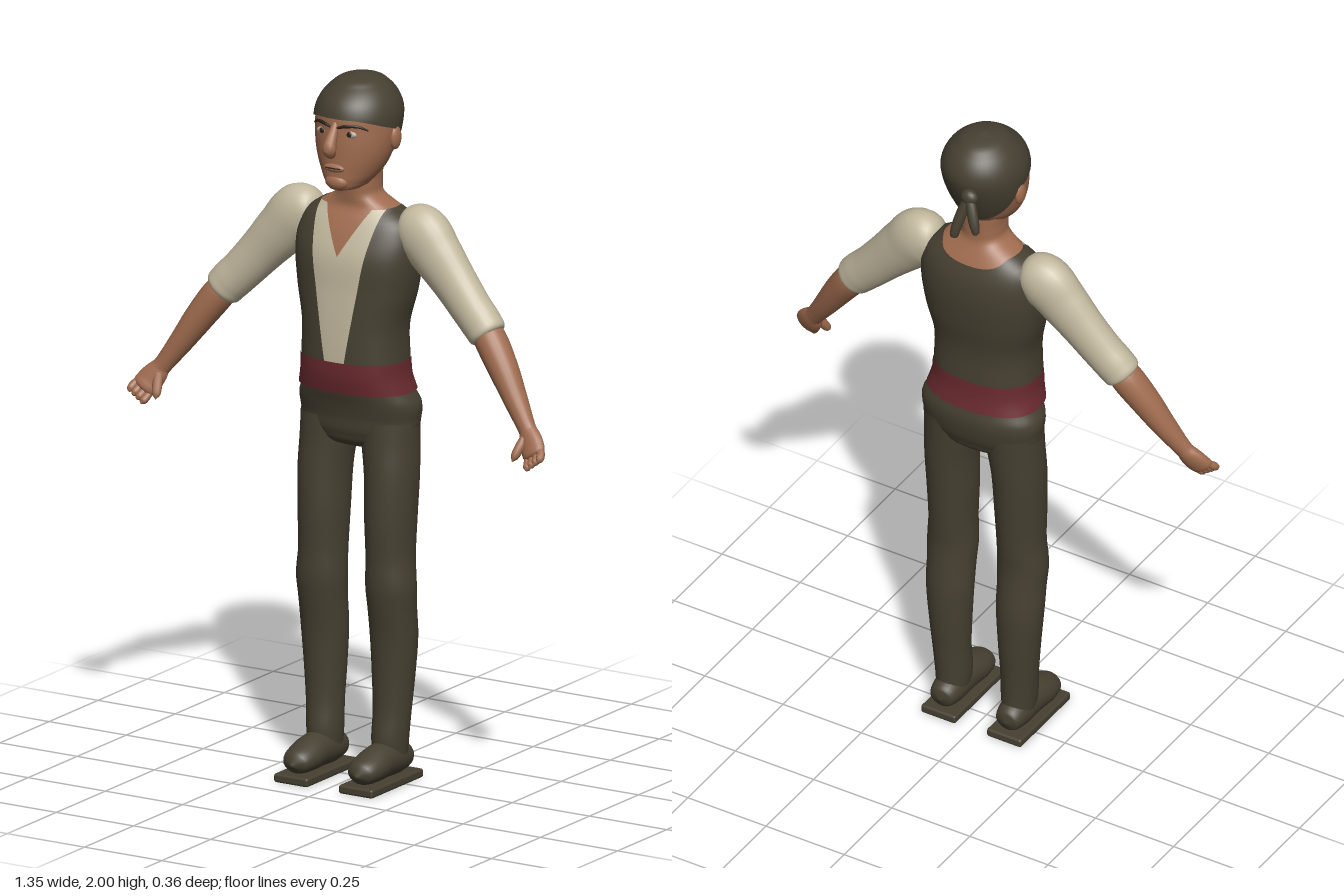
import * as THREE from 'three';
import { mergeVertices } from 'three/addons/utils/BufferGeometryUtils.js';
import { RoundedBoxGeometry } from 'three/addons/geometries/RoundedBoxGeometry.js';

const { lerp } = THREE.MathUtils;
const colour = (name, hex) => Object.assign(new THREE.MeshStandardMaterial({ color: hex }), { name });

// Smooth interpolation of rows [position, value, value, ...]
function smooth(rows) {
  const f = new THREE.CubicInterpolant(rows.map(r => r[0]), rows.flatMap(r => r.slice(1)), rows[0].length - 1);
  return x => Array.from(f.evaluate(x));
}

// Grid surface from a point function of s and t in 0..1
function patch(point, ns, nt) {
  const pos = [], idx = [];
  for (let j = 0; j <= nt; j++)
    for (let i = 0; i <= ns; i++) pos.push(...point(i / ns, j / nt));
  for (let j = 0; j < nt; j++)
    for (let i = 0; i < ns; i++) {
      const a = j * (ns + 1) + i, b = a + ns + 1;
      idx.push(a, a + 1, b + 1, a, b + 1, b);
    }
  const geo = new THREE.BufferGeometry();
  geo.setAttribute('position', new THREE.Float32BufferAttribute(pos, 3));
  geo.setIndex(idx);
  const merged = mergeVertices(geo, 1e-5);
  merged.computeVertexNormals();
  return merged;
}

// Upright body from rows [y, centreX, radiusX, frontZ, backZ]; angle 0 is the front
function body(rows, p = 1) {
  const at = smooth(rows);
  const pw = v => Math.sign(v) * Math.abs(v) ** p;
  const point = (a, y, k = 1) => {
    const [cx, rx, zf, zb] = at(y);
    return [cx + k * rx * pw(Math.sin(a)), y, (zf + zb) / 2 + k * (zf - zb) / 2 * pw(Math.cos(a))];
  };
  const angle = (x, y) => Math.asin(Math.min(1, (x / at(y)[1]) ** (1 / p)));
  const loft = (y0, y1, k = 1, ns = 40, nt = 40) =>
    patch((s, t) => point((s * 2 - 1) * Math.PI, lerp(y0, y1, t), k), ns, nt);
  return { point, angle, loft };
}

// Limb along a path from rows [x, y, z, radiusU, radiusV]
function limb(rows, ns = 20, nt = 30, ref = new THREE.Vector3(0, 0, 1)) {
  const curve = new THREE.CatmullRomCurve3(rows.map(r => new THREE.Vector3(r[0], r[1], r[2])));
  const radius = smooth(rows.map((r, i) => [i, r[3], r[4] ?? r[3]]));
  return patch((s, t) => {
    const [ru, rv] = radius(t * (rows.length - 1));
    const dir = curve.getTangent(t);
    const u = dir.clone().cross(ref).normalize(), v = dir.clone().cross(u);
    const a = s * Math.PI * 2;
    return curve.getPoint(t).addScaledVector(u, ru * Math.cos(a)).addScaledVector(v, rv * Math.sin(a)).toArray();
  }, ns, nt);
}

function mirrored(geo) {
  const g = geo.index ? geo.clone() : mergeVertices(geo);
  g.scale(-1, 1, 1);
  const ix = g.index.array;
  for (let i = 0; i < ix.length; i += 3) [ix[i], ix[i + 1]] = [ix[i + 1], ix[i]];
  return g;
}

export function createModel() {
  const model = new THREE.Group();
  const dark = colour('dark cloth', 0x464031);
  const cream = colour('cream linen', 0xc2b89e);
  const skin = colour('skin', 0xa06c4f);
  const red = colour('red sash', 0x6a2a2f);
  const black = colour('dark brown', 0x2a211a);
  const white = colour('eye white', 0xb5aa9c);
  [cream, dark, skin].forEach(m => { m.side = THREE.DoubleSide; });

  const add = (name, geo, mat) => {
    const m = new THREE.Mesh(geo, mat);
    m.name = name;
    model.add(m);
  };
  const pair = (name, geo, mat) => {
    add(name + 'Left', geo, mat);
    add(name + 'Right', mirrored(geo), mat);
  };
  const ball = (x, y, z, rx, ry, rz) => new THREE.SphereGeometry(1, 16, 12).scale(rx, ry, rz).translate(x, y, z);

  // Torso and neck
  const torso = body([
    [1.10, 0, .168, .105, -.115], [1.16, 0, .152, .118, -.104], [1.20, 0, .15, .12, -.102],
    [1.30, 0, .149, .118, -.1], [1.40, 0, .17, .112, -.115], [1.50, 0, .181, .105, -.122],
    [1.56, 0, .176, .085, -.115], [1.60, 0, .158, .066, -.1], [1.63, 0, .115, .05, -.085],
    [1.66, 0, .066, .052, -.072], [1.69, 0, .06, .056, -.072], [1.74, 0, .062, .058, -.075]], .85);
  add('chestAndNeck', torso.loft(1.4, 1.74), skin);
  add('sash', torso.loft(1.115, 1.205, 1.045, 40, 8), red);

  // Open vest, with a scooped neckline at the back
  const vestEdge = y => torso.angle(lerp(.03, .1, Math.max(0, (y - 1.2) / .42)), y);
  add('vest', patch((s, t) => {
    const side = s * 2 - 1;
    const y = lerp(1.19, 1.632 - .035 * Math.exp(-((side / .3) ** 2)), t);
    return torso.point(Math.PI + side * (Math.PI - vestEdge(y)), y, 1.03);
  }, 60, 40), dark);

  // Shirt front with a V opening
  pair('shirtFront', patch((s, t) => {
    const y = lerp(1.19, 1.63, t);
    const inner = torso.angle(Math.max(0, (y - 1.5) / .12) * .066, y);
    return torso.point(lerp(inner, vestEdge(y) + .06, s), y, 1.018);
  }, 10, 44), cream);

  // Trousers
  const hips = body([
    [.94, 0, .03, .01, -.03], [.955, 0, .1, .05, -.075], [.99, 0, .165, .072, -.1],
    [1.04, 0, .182, .08, -.115], [1.08, 0, .183, .09, -.118], [1.11, 0, .168, .1, -.112],
    [1.14, 0, .152, .108, -.104]], .9);
  add('hips', hips.loft(.94, 1.13), dark);
  const leg = body([
    [.07, .105, .045, .05, -.055], [.12, .105, .05, .057, -.056], [.2, .108, .053, .05, -.06],
    [.3, .11, .06, .05, -.068], [.42, .112, .068, .056, -.072], [.5, .112, .069, .068, -.066],
    [.56, .112, .072, .076, -.062], [.64, .109, .068, .076, -.068], [.75, .108, .071, .08, -.077],
    [.88, .107, .075, .077, -.088], [.96, .1, .08, .072, -.094], [1.03, .095, .084, .07, -.1]]);
  pair('trouserLeg', leg.loft(.07, 1.03, 1, 28, 50), dark);

  // Shoes on flat soles
  pair('shoe', limb([
    [.105, .06, -.08, 0, 0], [.105, .062, -.068, .034, .032], [.105, .068, -.02, .046, .048],
    [.105, .072, .05, .049, .05], [.105, .064, .11, .051, .042], [.105, .056, .155, .038, .03],
    [.105, .052, .177, 0, 0]], 24, 36, new THREE.Vector3(0, 1, 0)), dark);
  pair('sole', new RoundedBoxGeometry(.11, .025, .265, 2, .007).translate(.105, .0125, .047), dark);

  // Sleeves and bare forearms
  pair('sleeve', limb([
    [.125, 1.59, -.02, 0, 0], [.148, 1.588, -.02, .055, .05], [.195, 1.57, -.018, .082, .064],
    [.25, 1.515, -.012, .076, .06], [.31, 1.45, -.006, .066, .054], [.37, 1.385, .002, .06, .052],
    [.41, 1.345, .008, .058, .052], [.432, 1.32, .012, .05, .046], [.437, 1.314, .013, 0, 0]], 24, 48), cream);
  pair('forearm', limb([
    [.40, 1.355, .006, .03], [.435, 1.315, .013, .045], [.49, 1.24, .03, .042],
    [.54, 1.165, .047, .034], [.585, 1.1, .064, .027, .024], [.60, 1.08, .07, .028, .022]]), skin);

  // Hands
  pair('palm', limb([
    [.588, 1.1, .064, .022, .02], [.603, 1.075, .073, .033, .022], [.62, 1.05, .085, .038, .021],
    [.633, 1.03, .097, .034, .018], [.638, 1.023, .1, 0, 0]]), skin);
  for (let i = 0; i < 4; i++) {
    const f = i / 3;
    pair('finger' + (i + 1), limb([
      [lerp(.648, .607, f), lerp(1.055, 1.028, f), .09, .008], [lerp(.659, .617, f), lerp(1.038, 1.008, f), .105, .0115],
      [lerp(.662, .622, f), lerp(1.026, .997, f), .118, .01], [lerp(.661, .623, f), lerp(1.02, .992, f), .126, 0]], 10, 12), skin);
  }
  pair('thumb', limb([
    [.593, 1.075, .08, .012], [.586, 1.045, .1, .014], [.58, 1.022, .115, .011], [.577, 1.01, .123, 0]], 10, 12), skin);

  // Head
  const head = body([
    [1.686, 0, .012, .095, .06], [1.692, 0, .04, .112, .01], [1.71, 0, .062, .12, -.035],
    [1.74, 0, .084, .121, -.07], [1.78, 0, .102, .122, -.092], [1.82, 0, .112, .122, -.11],
    [1.86, 0, .116, .12, -.125], [1.90, 0, .115, .118, -.133], [1.94, 0, .1, .1, -.122],
    [1.97, 0, .075, .068, -.098], [1.99, 0, .044, .034, -.065], [2, 0, 0, -.014, -.014]]);
  add('head', head.loft(1.686, 1.97), skin);
  pair('ear', ball(.114, 1.83, -.012, .014, .034, .022), skin);
  add('nose', limb([
    [0, 1.885, .112, .008], [0, 1.86, .125, .013], [0, 1.83, .142, .018],
    [0, 1.812, .146, .02, .018], [0, 1.797, .132, .012], [0, 1.793, .122, 0]], 14, 20), skin);
  add('noseTip', ball(0, 1.814, .152, .014, .014, .013), skin);
  add('lips', ball(0, 1.757, .121, .033, .012, .01), skin);
  add('chin', ball(0, 1.715, .106, .036, .024, .021), skin);
  add('mouthLine', ball(0, 1.758, .129, .026, .002, .004), black);

  // Eyes and brows lie on the face
  pair('eye', ball(.044, 1.855, .107, .02, .01, .008), white);
  pair('iris', ball(.044, 1.856, .113, .008, .008, .004), black);
  pair('brow', limb([.01, .035, .065, .085].map((x, i) => {
    const y = 1.872 + [0, .007, .006, -.006][i];
    const q = head.point(head.angle(x, y), y, 1.02);
    return [...q, [.003, .005, .004, .002][i]];
  }), 8, 16), black);

  // Headscarf, low at the nape, with its knot and tails
  const hem = smooth([[0, 1.897], [.6, 1.893], [1.2, 1.872], [1.75, 1.845], [2.2, 1.785], [2.7, 1.748], [3.15, 1.738]]);
  add('headscarf', patch((s, t) => {
    const a = (s * 2 - 1) * Math.PI;
    return head.point(a, lerp(hem(Math.abs(a))[0], 2, Math.sin(t * Math.PI / 2)), 1.04);
  }, 48, 30), dark);
  add('scarfKnot', ball(-.03, 1.865, -.14, .026, .024, .02), dark);
  add('scarfTailLong', limb([
    [-.03, 1.87, -.14, .012], [-.015, 1.82, -.152, .016], [-.004, 1.77, -.167, .015],
    [0, 1.742, -.173, .011], [0, 1.737, -.174, 0]], 10, 16), dark);
  add('scarfTailShort', limb([
    [-.03, 1.87, -.14, .012], [-.045, 1.835, -.153, .015], [-.06, 1.795, -.164, .014],
    [-.068, 1.772, -.168, .009], [-.07, 1.768, -.169, 0]], 10, 16), dark);

  return model;
}
